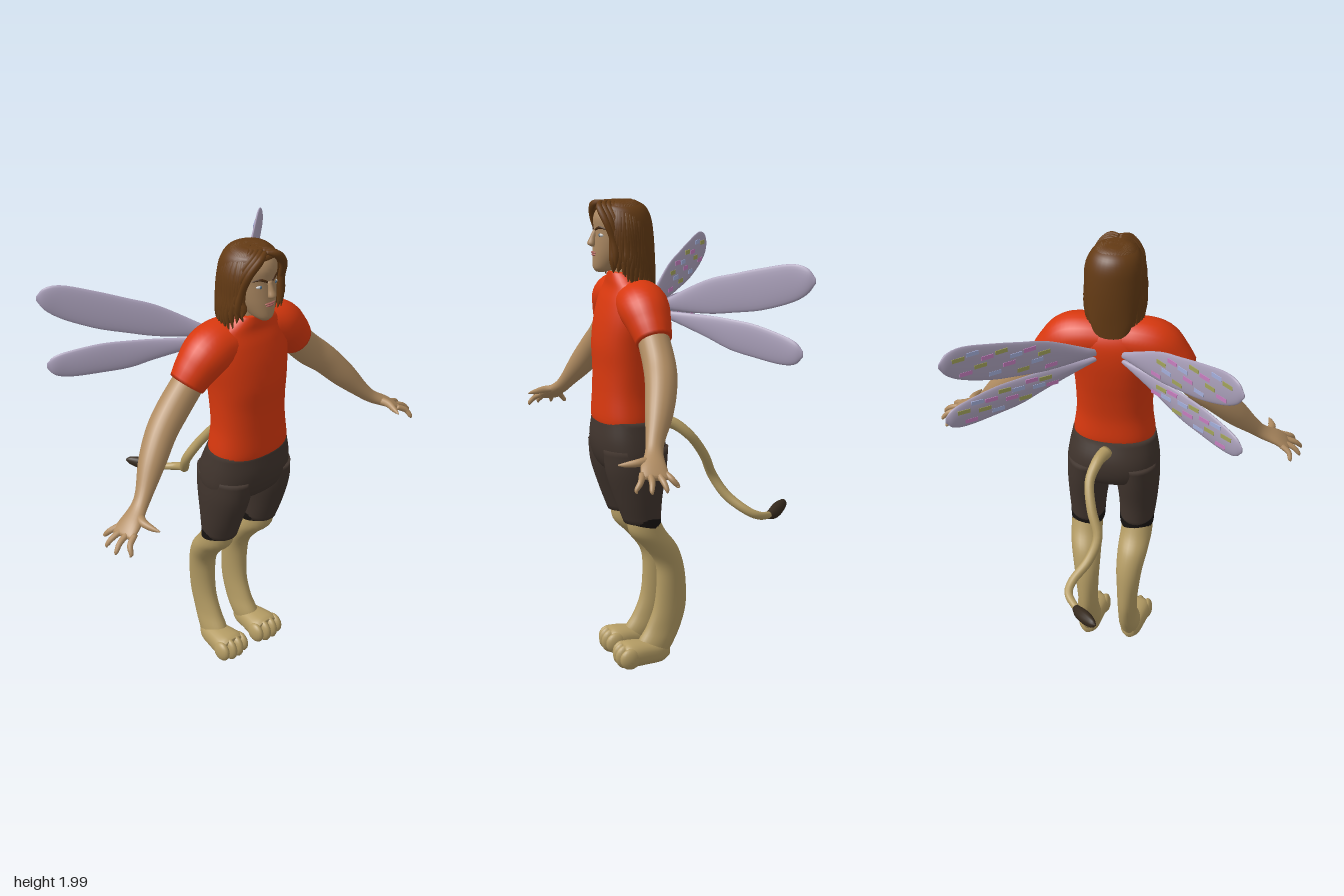
import * as THREE from 'three';

const mat = (color) => new THREE.MeshStandardMaterial({ color, roughness: 0.8 });
const M = {
  shirt: mat(0xd8380e), shorts: mat(0x40342d), hem: mat(0x171311), fur: mat(0xb49c64), skin: mat(0xb08c62),
  face: mat(0xa98660), hair: mat(0x633a14), wing: mat(0xaaa0ba), tuft: mat(0x35291d), lips: mat(0xa8605a),
  eye: mat(0xd5d8d8), iris: mat(0x4f6f88), brow: mat(0x4a2c12),
  pink: mat(0xc87fc0), olive: mat(0xa3a45c), blue: mat(0xa5b0dc),
};
const V3 = (x, y, z) => new THREE.Vector3(x, y, z);
const signPow = (v, e) => Math.sign(v) * Math.abs(v) ** e;

// Smooth skin through oval sections [x, y, z, a, b]; b lies along ref, a across it.
function loft(secs, { axis = null, ref = V3(0, 0, 1), n = 24, sub = 5, e = 1 } = {}) {
  const path = new THREE.CatmullRomCurve3(secs.map((s) => V3(s[0], s[1], s[2])), false, 'catmullrom');
  const radii = new THREE.CatmullRomCurve3(secs.map((s) => V3(s[3], s[4], 0)), false, 'catmullrom');
  const rows = (secs.length - 1) * sub, pos = [], idx = [];
  const dir = path.getPoint(1).sub(path.getPoint(0));
  for (let i = 0; i <= rows; i++) {
    const t = i / rows, p = path.getPoint(t), r = radii.getPoint(t);
    const T = axis ? axis.clone().normalize() : path.getTangent(t);
    if (axis && T.dot(dir) < 0) T.negate();
    const V = ref.clone().addScaledVector(T, -ref.dot(T)).normalize();
    const U = V.clone().cross(T);
    for (let j = 0; j < n; j++) {
      const q = (j / n) * Math.PI * 2;
      const v = p.clone().addScaledVector(U, Math.max(r.x, 0.001) * signPow(Math.cos(q), e))
        .addScaledVector(V, Math.max(r.y, 0.001) * signPow(Math.sin(q), e));
      pos.push(v.x, v.y, v.z);
    }
  }
  for (let i = 0; i < rows; i++) for (let j = 0; j < n; j++) {
    const k = (j + 1) % n, a = i * n + j, b = i * n + k;
    idx.push(a, b, a + n, b, b + n, a + n);
  }
  const c0 = pos.length / 3, p0 = path.getPoint(0), p1 = path.getPoint(1), L = rows * n;
  pos.push(p0.x, p0.y, p0.z, p1.x, p1.y, p1.z);
  for (let j = 0; j < n; j++) {
    const k = (j + 1) % n;
    idx.push(c0, k, j, c0 + 1, L + j, L + k);
  }
  const g = new THREE.BufferGeometry();
  g.setAttribute('position', new THREE.Float32BufferAttribute(pos, 3));
  g.setIndex(idx);
  g.computeVertexNormals();
  return g;
}

// Level section from its extents: height, x range, z range.
const ring = (y, x0, x1, z0, z1) => [(x0 + x1) / 2, y, (z0 + z1) / 2, (x1 - x0) / 2, (z1 - z0) / 2];
const wide = (y, w, z0, z1) => ring(y, -w, w, z0, z1);
const mirror = (secs, s) => secs.map(([x, ...rest]) => [x * s, ...rest]);
const UP = V3(0, 1, 0);

function add(parent, name, geo, material) {
  const m = new THREE.Mesh(geo, material);
  m.name = name;
  parent.add(m);
  return m;
}
function ball(parent, name, material, x, y, z, rx, ry, rz) {
  const m = add(parent, name, new THREE.SphereGeometry(1, 20, 14), material);
  m.position.set(x, y, z);
  m.scale.set(rx, ry, rz);
  return m;
}

function buildTorso(g) {
  add(g, 'shirt', loft([wide(1.06, 0.176, 0.15, 0.385), wide(1.1, 0.178, 0.14, 0.392), wide(1.2, 0.166, 0.145, 0.387),
    wide(1.3, 0.167, 0.135, 0.385), wide(1.4, 0.175, 0.12, 0.388), wide(1.5, 0.19, 0.11, 0.374), wide(1.58, 0.19, 0.115, 0.352),
    wide(1.635, 0.165, 0.14, 0.33), wide(1.67, 0.11, 0.175, 0.325), wide(1.7, 0.064, 0.195, 0.32)], { axis: UP, n: 36, e: 0.9 }), M.shirt);
  add(g, 'shortsSeat', loft([wide(1.09, 0.182, 0.135, 0.388), wide(1.0, 0.199, 0.1, 0.4), wide(0.93, 0.203, 0.1, 0.39),
    wide(0.88, 0.18, 0.125, 0.365), wide(0.86, 0.1, 0.17, 0.33)], { axis: UP, n: 36, e: 0.9 }), M.shorts);
}

function buildHead(g) {
  add(g, 'neck', loft([wide(1.66, 0.07, 0.19, 0.315), wide(1.71, 0.057, 0.195, 0.315), wide(1.8, 0.06, 0.19, 0.32)], { axis: UP }), M.face);
  add(g, 'head', loft([wide(1.7, 0.022, 0.33, 0.375), wide(1.72, 0.045, 0.27, 0.388), wide(1.77, 0.073, 0.2, 0.388), wide(1.82, 0.087, 0.17, 0.384),
    wide(1.87, 0.092, 0.16, 0.38), wide(1.92, 0.091, 0.16, 0.382), wide(1.96, 0.074, 0.18, 0.36), wide(1.983, 0.03, 0.23, 0.31)], { axis: UP, n: 32 }), M.face);
  add(g, 'nose', loft([[0, 1.872, 0.375, 0.01, 0.01], [0, 1.84, 0.387, 0.012, 0.014], [0, 1.815, 0.395, 0.018, 0.016],
    [0, 1.803, 0.385, 0.01, 0.01]], { axis: UP, n: 14 }), M.face);
  ball(g, 'upperLip', M.lips, 0, 1.779, 0.384, 0.026, 0.005, 0.009);
  ball(g, 'lowerLip', M.lips, 0, 1.77, 0.383, 0.021, 0.006, 0.01);
  for (const s of [1, -1]) {
    ball(g, 'eye', M.eye, s * 0.038, 1.853, 0.361, 0.016, 0.008, 0.012);
    ball(g, 'iris', M.iris, s * 0.038, 1.853, 0.37, 0.006, 0.007, 0.005);
    add(g, 'eyebrow', loft(mirror([[0.014, 1.873, 0.381, 0.004, 0.004], [0.04, 1.885, 0.369, 0.006, 0.005],
      [0.066, 1.876, 0.346, 0.002, 0.003]], s), { n: 8 }), M.brow);
  }
}

function buildHair(g) {
  const hair = new THREE.Group();
  hair.name = 'hair';
  g.add(hair);
  add(hair, 'hairBase', loft([wide(1.61, 0.06, 0.13, 0.16), wide(1.68, 0.09, 0.13, 0.2), wide(1.76, 0.11, 0.13, 0.27), wide(1.85, 0.116, 0.135, 0.31),
    wide(1.92, 0.113, 0.145, 0.35), wide(1.965, 0.09, 0.17, 0.365), wide(1.99, 0.035, 0.22, 0.32)], { axis: UP, n: 32 }), M.hair);
  // Locks fan out from the crown, longer toward the back.
  const count = 27;
  for (let layer = 0; layer < 2; layer++) for (let i = 0; i < count; i++) {
    const f = (i + layer * 0.5) / (count - 1) * 2 - 1;
    if (f > 1) continue;
    const phi = Math.PI + f * 2.15, wob = Math.sin(i * 7.3 + layer * 2.1), back = 1 - Math.abs(f);
    const at = (k, y, r, twist = 0) => [Math.sin(phi + twist) * 0.123 * k, y, 0.268 + Math.cos(phi + twist) * 0.125 * k, r, r * 0.7];
    const end = 1.71 - 0.1 * Math.min(1, back * 1.8) + 0.02 * wob + layer * 0.03;
    add(hair, 'lock', loft([at(0.12, 1.988, 0.006), at(0.58, 1.97, 0.013), at(0.92, 1.9, 0.016, 0.04 * wob), at(0.97, 1.8, 0.017, -0.05 * wob),
      at(1.0, (1.8 + end) / 2, 0.015, 0.05 * wob), at(1.0 + 0.05 * wob, end, 0.002)],
    { n: 8, sub: 4, ref: V3(Math.sin(phi), 0.3, Math.cos(phi)) }), M.hair);
  }
  // Swept fringe framing the face from a centre parting.
  for (const s of [1, -1]) for (let i = 0; i < 5; i++) {
    const d = i * 0.02;
    add(hair, 'fringeLock', loft(mirror([[0.002, 1.983, 0.35 - d, 0.008, 0.01], [0.045, 1.968, 0.373 - d, 0.016, 0.013],
      [0.088, 1.915, 0.36 - d, 0.017, 0.014], [0.102, 1.84, 0.335 - d, 0.016, 0.013], [0.11, 1.765, 0.325 - d, 0.017, 0.014],
      [0.09 + d * 0.3, 1.705, 0.33 - d, 0.002, 0.002]], s), { n: 8 }), M.hair);
  }
}

function buildArm(g, s) {
  const arm = new THREE.Group();
  arm.name = s > 0 ? 'leftArm' : 'rightArm';
  g.add(arm);
  const put = (name, secs, m, o) => add(arm, name, loft(mirror(secs, s), o), m);
  put('sleeve', [[0.03, 1.585, 0.225, 0.085, 0.1], [0.12, 1.578, 0.225, 0.096, 0.105], [0.19, 1.558, 0.23, 0.098, 0.103],
    [0.245, 1.507, 0.228, 0.088, 0.088], [0.29, 1.452, 0.225, 0.076, 0.073]], M.shirt);
  put('bareArm', [[0.25, 1.49, 0.225, 0.066, 0.064], [0.36, 1.375, 0.23, 0.067, 0.066], [0.44, 1.303, 0.25, 0.062, 0.064],
    [0.52, 1.213, 0.287, 0.054, 0.056], [0.595, 1.125, 0.33, 0.034, 0.038], [0.64, 1.083, 0.35, 0.027, 0.037],
    [0.7, 1.048, 0.372, 0.022, 0.052], [0.74, 1.022, 0.38, 0.015, 0.056], [0.75, 1.016, 0.382, 0.006, 0.045]], M.skin);
  // Four spread fingers and a thumb.
  [[0.425, 0.775, 0.465], [0.395, 0.808, 0.415], [0.365, 0.806, 0.355], [0.338, 0.775, 0.3]].forEach(([z, tx, tz], i) => {
    const y = 0.975 + (i === 3 ? 0.01 : 0);
    put('finger', [[0.72, 1.033, z, 0.012, 0.014], [(0.73 + tx) / 2 + 0.006, 1.012, (z + tz) / 2, 0.012, 0.012],
      [tx - 0.006, 0.988, tz, 0.009, 0.009], [tx, y, tz, 0.003, 0.003]], M.skin, { n: 10 });
  });
  put('thumb', [[0.66, 1.07, 0.375, 0.016, 0.02], [0.673, 1.066, 0.42, 0.016, 0.018], [0.665, 1.06, 0.465, 0.012, 0.012],
    [0.655, 1.058, 0.5, 0.003, 0.003]], M.skin, { n: 10, ref: V3(1, 0, 0) });
}

function buildLeg(g, s) {
  const leg = new THREE.Group();
  leg.name = s > 0 ? 'leftLeg' : 'rightLeg';
  g.add(leg);
  const put = (name, secs, m, o) => add(leg, name, loft(mirror(secs, s), o), m);
  put('shortsLeg', [ring(0.97, 0.01, 0.2, 0.105, 0.385), ring(0.87, 0.012, 0.205, 0.115, 0.375), ring(0.75, 0.028, 0.197, 0.135, 0.337),
    ring(0.65, 0.036, 0.185, 0.142, 0.3)], M.shorts, { axis: UP, n: 28 });
  put('shortsHem', [ring(0.68, 0.034, 0.188, 0.14, 0.308), ring(0.655, 0.034, 0.187, 0.139, 0.302), ring(0.638, 0.036, 0.186, 0.139, 0.298)],
    M.hem, { axis: V3(0, 1, -0.22), n: 28 });
  put('shank', [ring(0.68, 0.05, 0.18, 0.16, 0.285), ring(0.6, 0.043, 0.183, 0.12, 0.277), ring(0.53, 0.038, 0.173, 0.068, 0.213),
    ring(0.45, 0.038, 0.156, 0.037, 0.158), ring(0.36, 0.043, 0.144, 0.022, 0.15), ring(0.25, 0.047, 0.134, 0.02, 0.162),
    ring(0.16, 0.047, 0.132, 0.042, 0.197), ring(0.09, 0.045, 0.14, 0.075, 0.24), ring(0.025, 0.055, 0.14, 0.115, 0.25)], M.fur, { axis: UP });
  put('paw', [[0.098, 0.05, 0.1, 0.02, 0.025], [0.098, 0.05, 0.14, 0.045, 0.045], [0.1, 0.054, 0.21, 0.06, 0.052],
    [0.1, 0.055, 0.28, 0.072, 0.054], [0.1, 0.055, 0.31, 0.06, 0.045]], M.fur, { axis: V3(0, 0, 1), ref: UP, e: 0.85 });
  for (let i = 0; i < 4; i++) {
    const outer = i === 0 || i === 3;
    ball(leg, 'toe', M.fur, s * (0.046 + i * 0.036), 0.05, outer ? 0.292 : 0.302, 0.024, outer ? 0.046 : 0.052, 0.045);
  }
}

function buildWing(g, s, name, depth, outline) {
  const wing = new THREE.Group();
  wing.name = `${s > 0 ? 'left' : 'right'}${name}`;
  g.add(wing);
  const span = V3(s * 0.54, 0, -depth);
  const secs = outline.map(([t, top, bottom]) =>
    [s * 0.06 + span.x * t, (top + bottom) / 2, 0.12 + span.z * t, (top - bottom) / 2, t === 1 ? 0.003 : 0.012]);
  add(wing, 'membrane', loft(secs, { axis: span, n: 24, sub: 6 }), M.wing);
  // Coloured panels on the rear face.
  const D = span.clone().normalize(), N = V3(0, 0, -1).addScaledVector(D, D.z).normalize();
  const tints = [M.pink, M.olive, M.blue];
  for (let i = 0; i < 14; i++) {
    const t = 0.3 + 0.045 * i, v = [-0.55, 0.35, -0.1, 0.6][i % 4];
    const k = outline.findIndex((o) => o[0] >= t), a = outline[k - 1], b = outline[k];
    const f = (t - a[0]) / (b[0] - a[0]);
    const top = a[1] + (b[1] - a[1]) * f, bottom = a[2] + (b[2] - a[2]) * f;
    const panel = add(wing, 'panel', new THREE.BoxGeometry(0.055, 0.018, 0.005), tints[i % 3]);
    panel.position.set(s * 0.06 + span.x * t, (top + bottom) / 2 + (v * (top - bottom)) / 2, 0.12 + span.z * t)
      .addScaledVector(N, 0.012 * Math.sqrt(1 - v * v) - 0.0008);
    panel.rotation.y = Math.atan2(-span.z, span.x);
  }
}

function buildTail(g) {
  const r = 0.021;
  add(g, 'tail', loft([[0.015, 1.05, 0.13, 0.03, 0.03], [0.04, 1.045, 0.06, 0.025, 0.025], [0.062, 0.985, -0.015, r, r], [0.04, 0.89, -0.085, r, r],
    [0.005, 0.79, -0.135, r, r], [0.035, 0.7, -0.19, r, r], [0.09, 0.64, -0.26, 0.019, 0.019], [0.098, 0.61, -0.32, 0.018, 0.018],
    [0.05, 0.592, -0.39, 0.015, 0.015]], { n: 14, ref: V3(1, 0, 0) }), M.fur);
  add(g, 'tailTuft', loft([[0.06, 0.592, -0.375, 0.014, 0.014], [0.035, 0.593, -0.41, 0.026, 0.024], [0, 0.602, -0.45, 0.029, 0.026],
    [-0.035, 0.612, -0.49, 0.02, 0.016], [-0.052, 0.616, -0.505, 0.003, 0.003]], { n: 12, ref: V3(1, 0, 0) }), M.tuft);
}

export function createModel() {
  const g = new THREE.Group();
  g.name = 'wingedFigure';
  buildTorso(g);
  buildHead(g);
  buildHair(g);
  for (const s of [1, -1]) {
    buildArm(g, s);
    buildLeg(g, s);
    buildWing(g, s, 'UpperWing', 0.455, [[0, 1.57, 1.54], [0.3, 1.675, 1.538], [0.5, 1.715, 1.555], [0.67, 1.745, 1.575],
      [0.85, 1.77, 1.615], [0.95, 1.758, 1.655], [1, 1.72, 1.7]]);
    buildWing(g, s, 'LowerWing', 0.405, [[0, 1.535, 1.515], [0.33, 1.535, 1.445], [0.5, 1.53, 1.405], [0.67, 1.52, 1.385],
      [0.85, 1.492, 1.37], [0.95, 1.468, 1.378], [1, 1.435, 1.41]]);
  }
  buildTail(g);
  return g;
}
